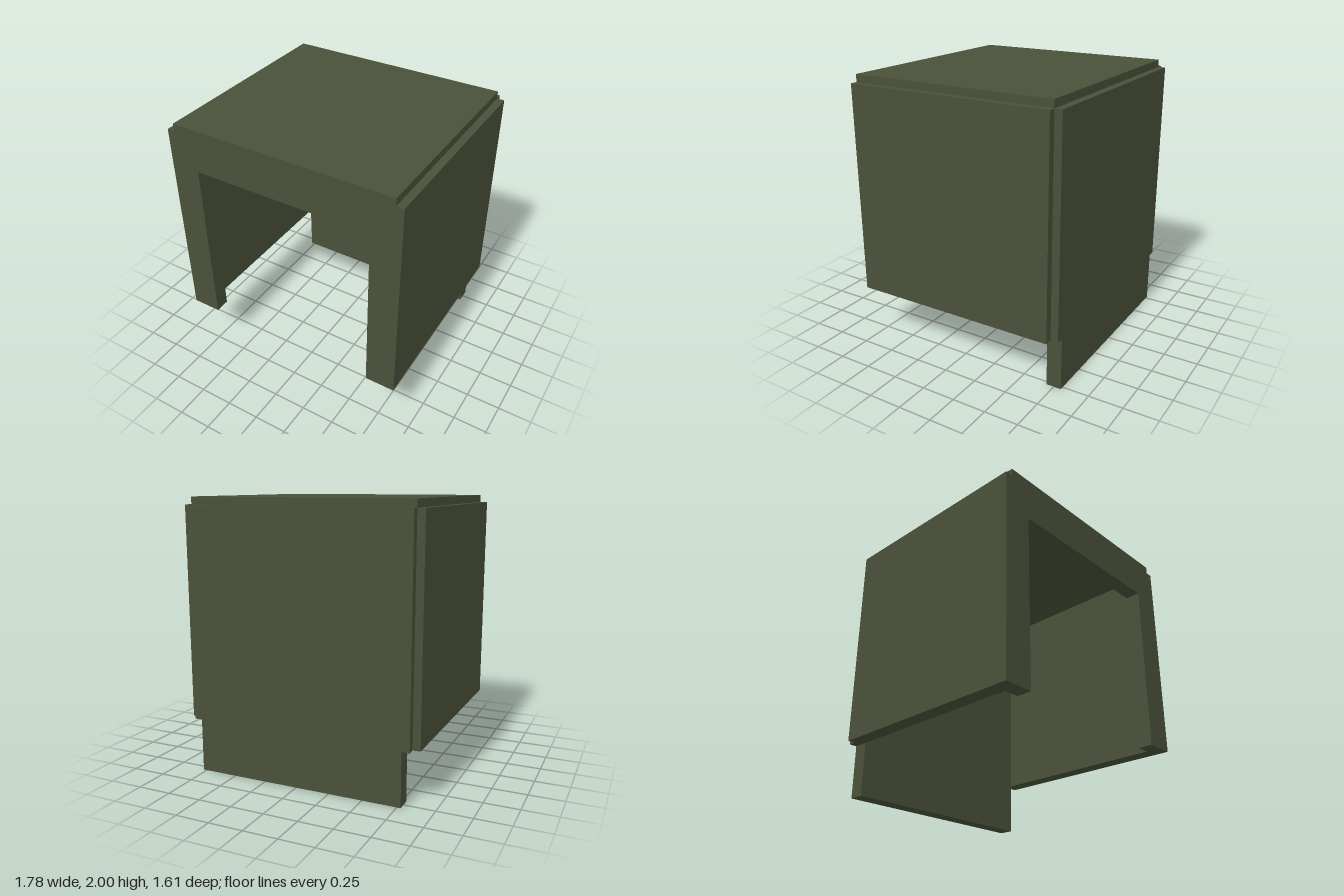
import * as THREE from 'three';

const T = 0.111;        // wall thickness
const HALF = 0.888;     // outer half width of the side walls
const INSET = 0.833;    // half width of the roof and back panel
const FLAP = 0.777;     // half width of the lower back flap
const FRONT = 0.805, BACK = -0.805, STEP = 0.0555;
const LOW = 0.39, TOP = 2;

export function createModel() {
  const group = new THREE.Group();
  const olive = new THREE.MeshStandardMaterial({ color: 0x4a5139 });
  olive.name = 'olive green';

  const add = (name, geometry) => {
    const mesh = new THREE.Mesh(geometry, olive);
    mesh.name = name;
    group.add(mesh);
    return mesh;
  };
  // Box given by its opposite corners
  const box = (name, x0, x1, y0, y1, z0, z1) =>
    add(name, new THREE.BoxGeometry(x1 - x0, y1 - y0, z1 - z0))
      .position.set((x0 + x1) / 2, (y0 + y1) / 2, (z0 + z1) / 2);

  // Front frame: two posts and a header around the open face
  const half = [[0.668, 1.675], [0.668, LOW], [HALF, LOW], [HALF, TOP - STEP], [INSET, TOP - STEP], [INSET, TOP]];
  const outline = [...half, ...half.map(([x, y]) => [-x, y]).reverse()];
  const frame = new THREE.Shape(outline.map(([x, y]) => new THREE.Vector2(x, y)));
  add('frontFrame', new THREE.ExtrudeGeometry(frame, { depth: T, bevelEnabled: false }))
    .position.z = FRONT - T;

  // Roof, stepped in from the walls
  box('roof', -INSET, INSET, TOP - T, TOP, BACK + STEP, FRONT - T);

  // Side walls
  box('leftWall', FLAP, HALF, LOW, TOP - STEP, BACK + STEP, FRONT - T);
  box('rightWall', -HALF, -FLAP, LOW, TOP - STEP, BACK + STEP, FRONT - T);

  // Back panel and the narrower flap hanging below it
  box('backPanel', -INSET, INSET, LOW, TOP - STEP, BACK, BACK + T);
  box('backFlap', -FLAP, FLAP, 0, LOW, BACK, BACK + T);

  return group;
}
